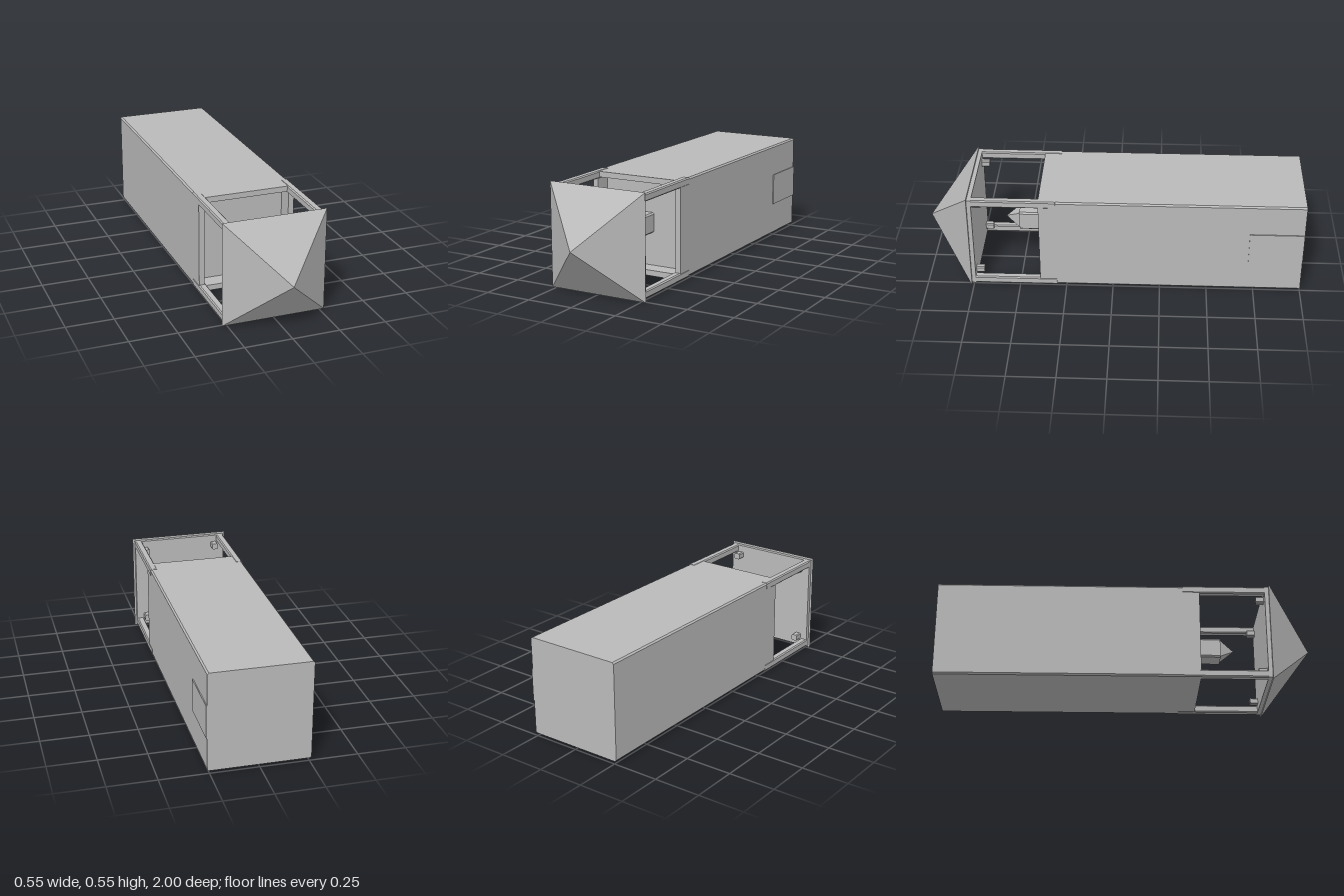
import * as THREE from 'three';

const CY = 0.275; // height of the long axis

// Square outline with cut corners
function cutSquare(half, cut, Type = THREE.Shape) {
  const s = new Type();
  const i = half - cut;
  [[i, -half], [half, -i], [half, i], [i, half], [-i, half], [-half, i], [-half, -i], [-i, -half]]
    .forEach(([x, y], k) => (k ? s.lineTo(x, y) : s.moveTo(x, y)));
  s.closePath();
  return s;
}

export function createModel() {
  const root = new THREE.Group();
  const grey = new THREE.MeshStandardMaterial({ color: 0xbababa });
  grey.name = 'plain grey';

  function add(name, geometry, x, y, z) {
    const mesh = new THREE.Mesh(geometry, grey);
    mesh.name = name;
    mesh.position.set(x, y, z);
    root.add(mesh);
  }

  // Bar running along z from z0 to z1
  function bar(name, half, cut, z0, z1, x = 0, y = CY, hole = 0) {
    const shape = cutSquare(half, cut);
    if (hole) shape.holes.push(cutSquare(hole, 0.002, THREE.Path));
    add(name, new THREE.ExtrudeGeometry(shape, { depth: z1 - z0, bevelEnabled: false }), x, y, z0);
  }

  // Four-sided point facing +z
  function point(name, half, z0, z1) {
    const g = new THREE.ConeGeometry(half * Math.SQRT2, z1 - z0, 4)
      .rotateY(Math.PI / 4).rotateX(Math.PI / 2).toNonIndexed();
    g.computeVertexNormals();
    add(name, g, 0, CY, (z0 + z1) / 2);
  }

  // Long body with a shallow socket at its front
  bar('body', 0.261, 0.008, -1, 0.3);
  bar('socketRim', 0.261, 0.008, 0.3, 0.39, 0, CY, 0.231);

  // Raised panel on the left side
  add('sidePanel', new THREE.BoxGeometry(0.01, 0.174, 0.285), 0.261, 0.278, -0.8575);

  // Central pin
  bar('pin', 0.054, 0.008, 0.3, 0.515);
  point('pinTip', 0.046, 0.515, 0.59);

  // Corner rods and the pegs beside their front ends
  for (const sx of [-1, 1]) {
    for (const sy of [-1, 1]) {
      bar('cornerRod', 0.02, 0.006, 0.3, 0.742, sx * 0.243, CY + sy * 0.243);
      bar('peg', 0.017, 0.005, 0.695, 0.742, sx * 0.205, CY + sy * 0.208);
    }
  }

  // Nose: backing plate and pyramid
  add('nosePlate', new THREE.BoxGeometry(0.526, 0.526, 0.024), 0, CY, 0.75);
  point('nose', 0.275, 0.76, 1);

  return root;
}
